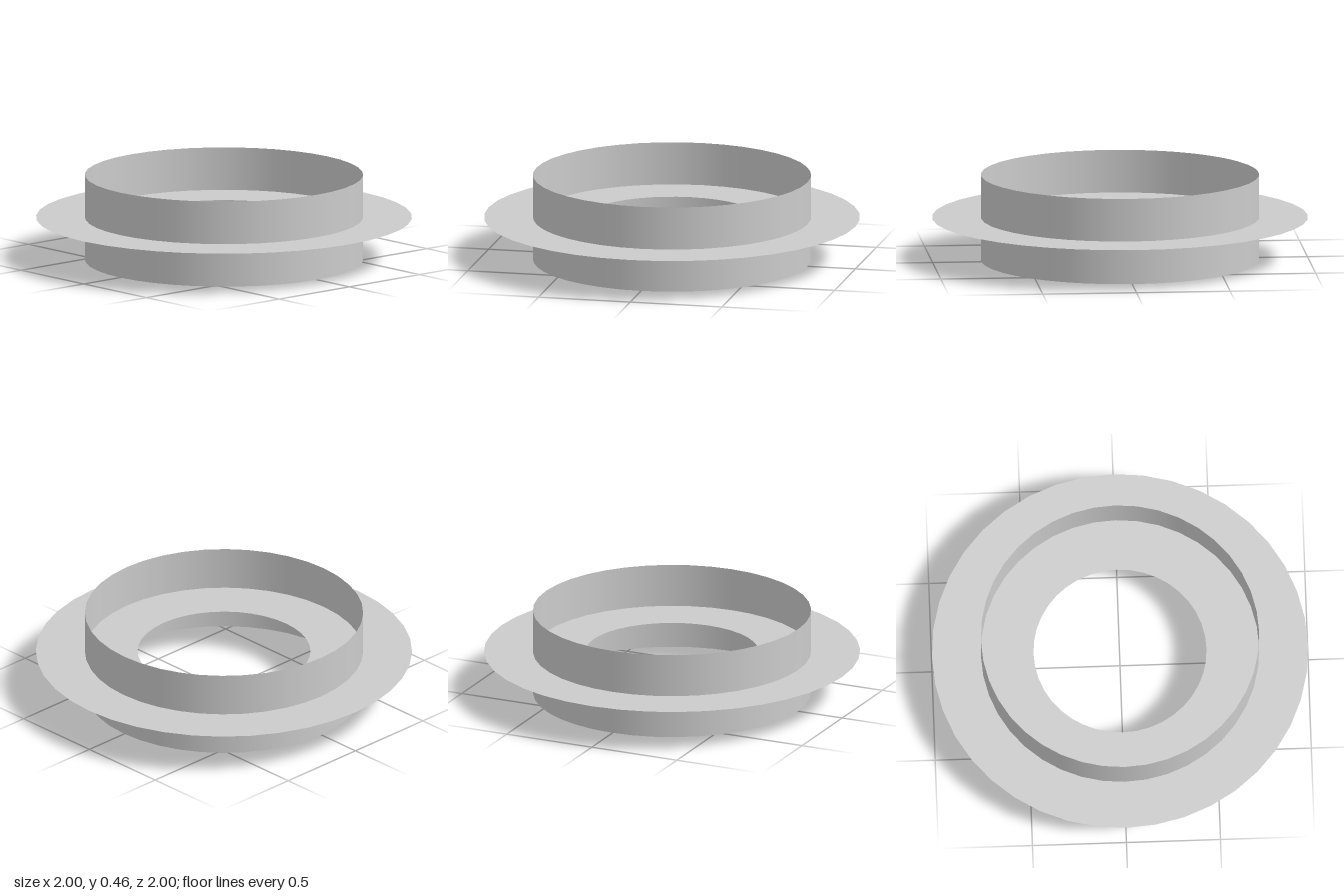
import * as THREE from 'three';

export function createModel() {
  const group = new THREE.Group();
  const material = new THREE.MeshStandardMaterial({ color: 0xcccccc, side: THREE.DoubleSide });
  const segments = 40;
  const height = 0.46;

  // Thin upright band, open at both ends
  const band = new THREE.Mesh(
    new THREE.CylinderGeometry(0.74, 0.74, height, segments, 1, true),
    material
  );
  band.name = 'band';
  band.position.y = height / 2;

  // Flat ring crossing the band at mid-height
  const flange = new THREE.Mesh(new THREE.RingGeometry(0.46, 1, segments), material);
  flange.name = 'flatRing';
  flange.rotation.x = -Math.PI / 2;
  flange.position.y = height / 2;

  group.add(band, flange);
  return group;
}
